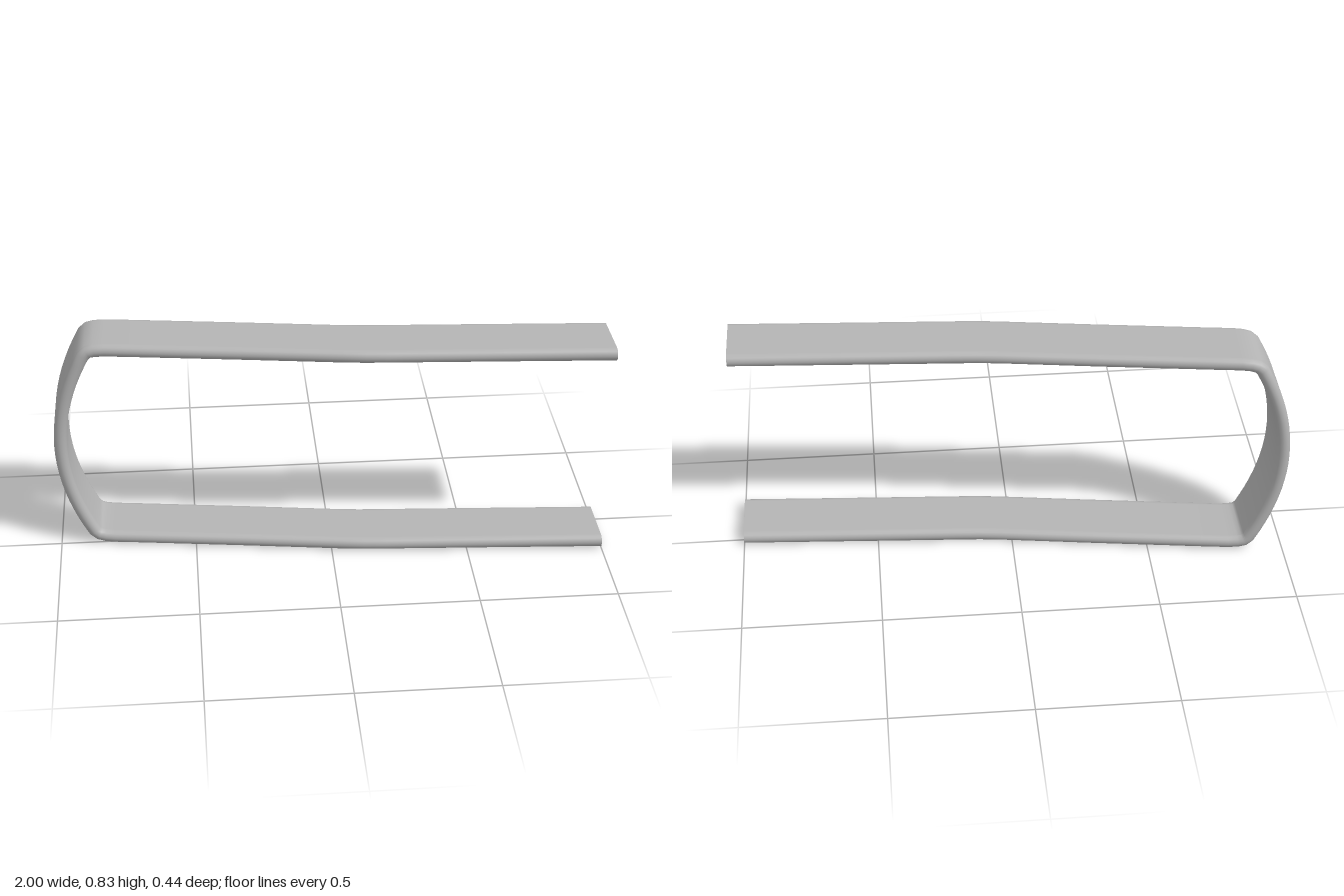
import * as THREE from 'three';

const MID = 0.418, HALF_W = 0.118, R = 0.0235;

// Centre line of the upper half: [x, y above the middle, z]
function centreLine() {
  const upper = [
    [1, 0.394, 0.0915], [0.6, 0.394, 0.066], [0.2, 0.394, 0.041], [0.12, 0.394, 0.036],
    [0.04, 0.394, 0.027], [-0.3, 0.394, -0.022], [-0.7, 0.394, -0.077],
    [-0.8, 0.394, -0.09], [-0.835, 0.391, -0.094], [-0.858, 0.385, -0.097], [-0.875, 0.37, -0.098],
  ];
  // Shallow bow joining the two arms
  for (let i = 1; i < 10; i++) {
    const t = 1 - i / 10;
    upper.push([-0.977 + 0.102 * t * t, 0.37 * t, -0.098]);
  }
  const lower = upper.map(([x, y, z]) => [x, -y, z]).reverse();
  // The band leans slightly forward towards the top
  return [...upper, [-0.977, 0, -0.098], ...lower]
    .map(([x, y, z]) => new THREE.Vector3(x, MID + y, z + 0.016 * y));
}

// Flat band cross-section with round edges: [across z, through thickness]
function section() {
  const pts = [], n = 8;
  for (const side of [1, -1]) {
    for (let i = 0; i <= n; i++) {
      const a = -Math.PI / 2 + Math.PI * i / n;
      pts.push([side * (HALF_W - R + R * Math.cos(a)), side * R * Math.sin(a)]);
    }
    for (const s of [0.97, 0, -0.97]) pts.push([side * s * (HALF_W - R), side * R]);
  }
  return pts;
}

// Hollow sweep, open at both ends
function bandGeometry() {
  const path = centreLine(), ring = section(), m = ring.length;
  const pos = [], index = [];
  path.forEach((p, i) => {
    const a = path[Math.max(i - 1, 0)], b = path[Math.min(i + 1, path.length - 1)];
    const len = Math.hypot(b.x - a.x, b.y - a.y);
    const nx = (b.y - a.y) / len, ny = -(b.x - a.x) / len;
    for (const [w, h] of ring) pos.push(p.x + nx * h, p.y + ny * h, p.z + w);
    if (i === path.length - 1) return;
    for (let j = 0; j < m; j++) {
      const q = i * m + j, r = i * m + (j + 1) % m;
      index.push(q, r, q + m, r, r + m, q + m);
    }
  });
  const g = new THREE.BufferGeometry();
  g.setAttribute('position', new THREE.Float32BufferAttribute(pos, 3));
  g.setIndex(index);
  g.computeVertexNormals();
  return g;
}

export function createModel() {
  const group = new THREE.Group();
  group.name = 'bentBand';
  const grey = new THREE.MeshStandardMaterial({ color: 0xb4b4b4, side: THREE.DoubleSide });
  grey.name = 'light grey';
  const band = new THREE.Mesh(bandGeometry(), grey);
  band.name = 'hollowBand';
  group.add(band);
  return group;
}
